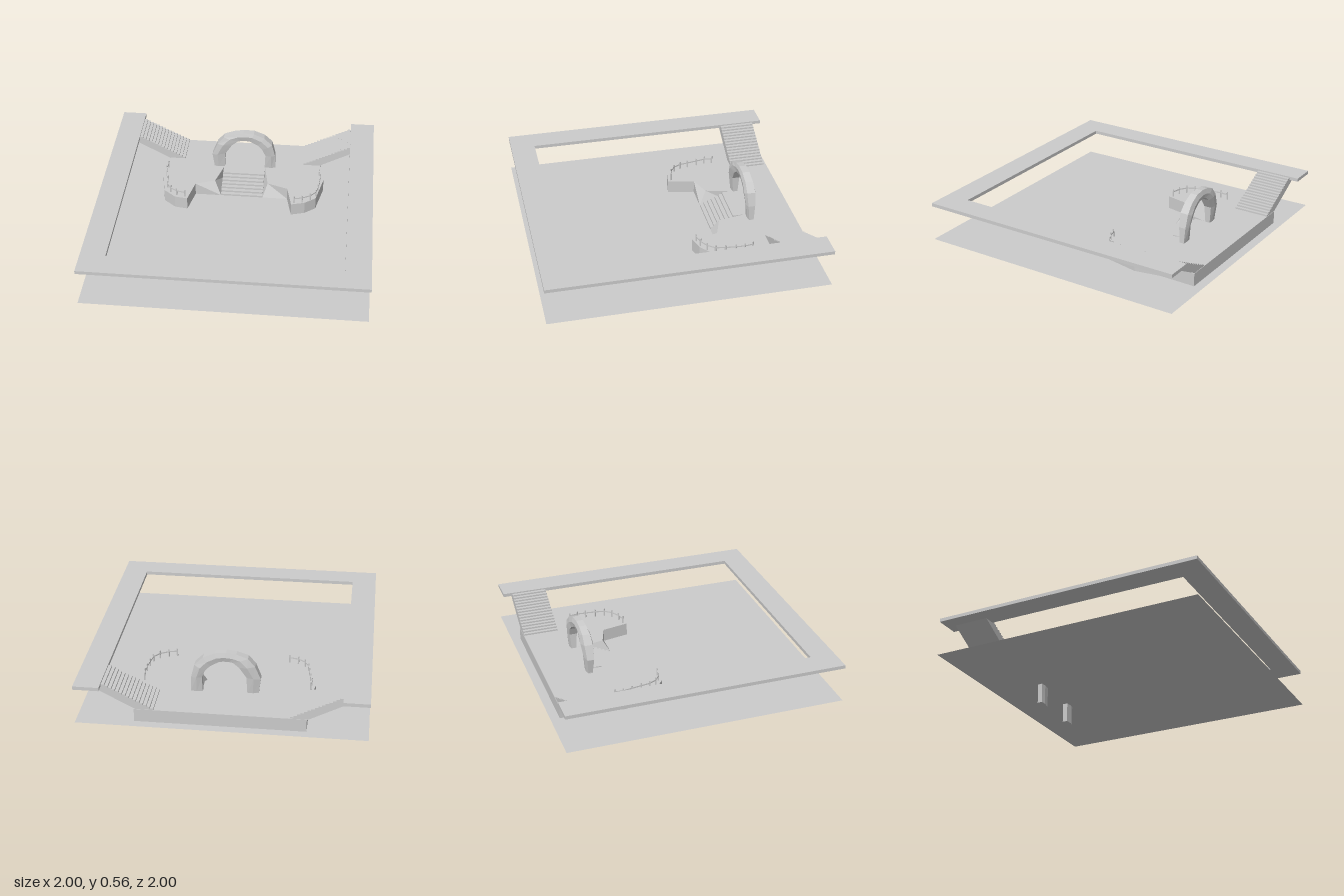
import * as THREE from 'three';

const mat = new THREE.MeshStandardMaterial({ color: 0xcccccc, flatShading: true, side: THREE.DoubleSide });
const GROUND = 0.15, DECK = 0.245;

function add(parent, name, geometry) {
  const mesh = new THREE.Mesh(geometry, mat);
  mesh.name = name;
  parent.add(mesh);
  return mesh;
}

// Extrudes an [x, z] plan upward from y0 to y1
function slab(plan, y0, y1) {
  const shape = new THREE.Shape(plan.map(([x, z]) => new THREE.Vector2(x, -z)));
  const g = new THREE.ExtrudeGeometry(shape, { depth: y1 - y0, bevelEnabled: false });
  return g.rotateX(-Math.PI / 2).translate(0, y0, 0);
}

// Terrace whose stair corners lean back toward the top
function terraceGeometry() {
  const plan = [
    [-0.58, -0.935], [-0.58, -0.67], [-0.615, -0.48], [-0.57, -0.235], [-0.48, -0.16], [-0.385, -0.145],
    [-0.345, -0.34], [-0.15, -0.34], [-0.15, -0.58], [0.17, -0.6], [0.17, -0.34], [0.36, -0.34],
    [0.4, -0.145], [0.5, -0.175], [0.58, -0.24], [0.63, -0.48], [0.595, -0.67], [0.6, -0.935],
  ];
  const g = slab(plan, GROUND, DECK);
  const p = g.attributes.position;
  for (let i = 0; i < p.count; i++) {
    const x = p.getX(i), z = p.getZ(i);
    const corner = Math.abs(z + 0.34) < 0.001 && Math.abs(x) < 0.2;
    if (corner && p.getY(i) > 0.2) p.setXYZ(i, x < 0 ? -0.2 : 0.205, DECK, -0.395);
  }
  g.computeVertexNormals();
  return g;
}

// Sloping flight from the walkway down to the terrace, on the +x side
function sideStairGeometry() {
  const n = 15, x0 = 0.465, x1 = 0.82, y1 = 0.425;
  const s = new THREE.Shape();
  s.moveTo(0.58, DECK - 0.005);
  s.lineTo(0.9, 0.41);
  s.lineTo(x1, y1);
  for (let i = n; i > 0; i--) {
    const x = x0 + ((x1 - x0) * (i - 1)) / n;
    s.lineTo(x, DECK + ((y1 - DECK) * i) / n);
    s.lineTo(x, DECK + ((y1 - DECK) * (i - 1)) / n);
  }
  return new THREE.ExtrudeGeometry(s, { depth: 0.26, bevelEnabled: false }).translate(0, 0, -0.932);
}

// Front steps as one stepped profile, fitted between the terrace corners
function frontStepsGeometry() {
  const n = 7, run = 0.17;
  const s = new THREE.Shape();
  s.moveTo(0.6, GROUND);
  s.lineTo(0.34, GROUND);
  for (let i = 0; i < n; i++) {
    const z = 0.34 + (run * i) / (n - 1), y = GROUND + ((DECK - GROUND) * (i + 1)) / n;
    s.lineTo(z, y);
    s.lineTo(i < n - 1 ? 0.34 + (run * (i + 1)) / (n - 1) : 0.6, y);
  }
  return new THREE.ExtrudeGeometry(s, { depth: 0.32, bevelEnabled: false })
    .rotateY(Math.PI / 2).translate(-0.15, 0, 0);
}

// Rough arch lofted through six-sided sections: [outer x, y, inner x, y, half depth]
function archGeometry() {
  const stations = [
    [-0.235, 0.005, -0.15, 0, 0.025], [-0.24, 0.15, -0.148, 0.15, 0.025], [-0.225, 0.25, -0.145, 0.24, 0.023],
    [-0.24, 0.36, -0.14, 0.37, 0.036], [-0.2, 0.46, -0.09, 0.45, 0.044], [-0.15, 0.52, -0.045, 0.487, 0.04],
    [-0.07, 0.55, -0.02, 0.49, 0.036], [0, 0.56, 0.02, 0.492, 0.036], [0.08, 0.555, 0.05, 0.488, 0.038],
    [0.16, 0.52, 0.11, 0.455, 0.04], [0.22, 0.46, 0.145, 0.42, 0.044], [0.245, 0.36, 0.17, 0.36, 0.036],
    [0.25, 0.24, 0.165, 0.24, 0.023], [0.255, 0.15, 0.168, 0.15, 0.025], [0.255, 0.005, 0.17, 0.005, 0.025],
  ];
  const section = [[0, 0.7], [0.4, 1], [1, 0.75], [1, -0.75], [0.5, -1], [0, -0.7]];
  const pos = [], index = [], m = section.length, last = (stations.length - 1) * m;
  stations.forEach(([ox, oy, ix, iy, d], i) => {
    for (const [t, f] of section) {
      const x = ox + (ix - ox) * t;
      pos.push(x, oy + (iy - oy) * t, -0.62 - 0.04 * x + f * d);
    }
    if (i === stations.length - 1) return;
    for (let k = 0; k < m; k++) {
      const a = i * m + k, b = i * m + ((k + 1) % m);
      index.push(a, b, b + m, a, b + m, a + m);
    }
  });
  for (let k = 1; k < m - 1; k++) index.push(0, k + 1, k, last, last + k, last + k + 1);
  const g = new THREE.BufferGeometry();
  g.setAttribute('position', new THREE.Float32BufferAttribute(pos, 3));
  g.setIndex(index);
  g.computeVertexNormals();
  return g;
}

// Posts joined by a handrail along [x, z] points
function railing(name, points) {
  const group = new THREE.Group();
  group.name = name;
  points.forEach(([x, z], i) => {
    add(group, 'railPost', new THREE.CylinderGeometry(0.006, 0.006, 0.06, 6)).position.set(x, DECK + 0.03, z);
    if (i === 0) return;
    const [px, pz] = points[i - 1];
    const length = Math.hypot(x - px, z - pz);
    const rail = add(group, 'handrail', new THREE.BoxGeometry(0.007, 0.01, length));
    rail.position.set((x + px) / 2, 0.284, (z + pz) / 2);
    rail.rotation.y = Math.atan2(x - px, z - pz);
  });
  return group;
}

export function createModel() {
  const model = new THREE.Group();
  model.name = 'sunkenCourtyard';

  add(model, 'ground', new THREE.PlaneGeometry(2, 2).rotateX(-Math.PI / 2)).position.y = GROUND;

  // Raised walkway, open at the back
  add(model, 'walkway', slab([
    [-1, -1], [-1, 1], [1, 1], [1, -1], [0.82, -1], [0.82, 0.82], [-0.82, 0.82], [-0.82, -1],
  ], 0.41, 0.435));

  add(model, 'terrace', terraceGeometry());
  add(model, 'frontSteps', frontStepsGeometry());
  add(model, 'arch', archGeometry());

  // Mirrored side flights
  add(model, 'leftStair', sideStairGeometry());
  const mirrored = add(model, 'rightStair', sideStairGeometry());
  mirrored.rotation.y = Math.PI;
  mirrored.position.z = -1.604;

  model.add(railing('rightRailing', [
    [-0.58, -0.54], [-0.585, -0.48], [-0.573, -0.415], [-0.56, -0.34], [-0.55, -0.275],
    [-0.52, -0.22], [-0.47, -0.185], [-0.405, -0.17],
  ]));
  model.add(railing('leftRailing', [
    [0.595, -0.54], [0.603, -0.48], [0.6, -0.415], [0.592, -0.34], [0.58, -0.27],
    [0.54, -0.22], [0.48, -0.185], [0.42, -0.17],
  ]));

  return model;
}
